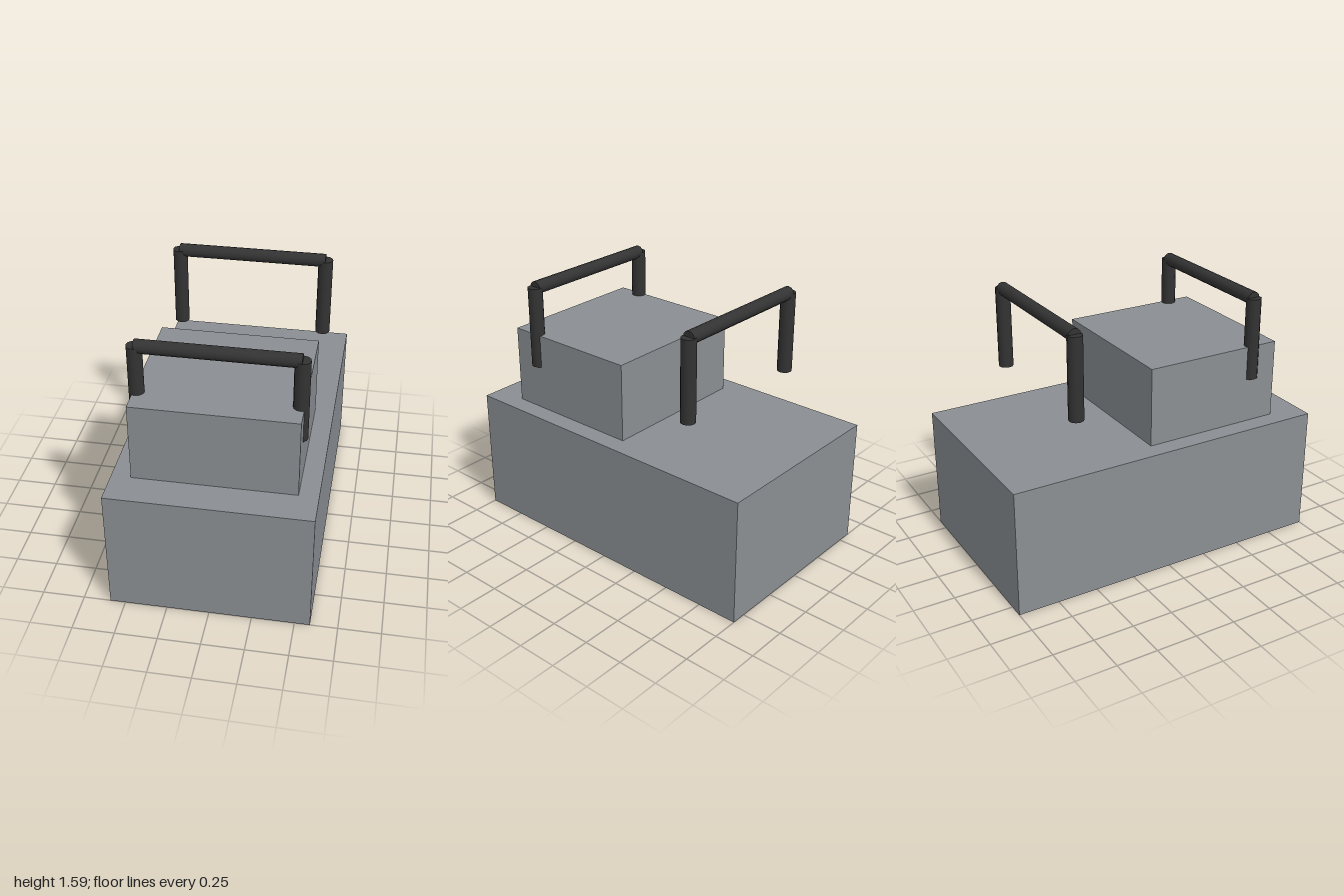
import * as THREE from 'three';

const bodyMaterial = new THREE.MeshStandardMaterial({ color: 0x8a8f93 });
const handleMaterial = new THREE.MeshStandardMaterial({ color: 0x333333 });

function addPart(parent, name, geometry, material, x, y, z) {
  const mesh = new THREE.Mesh(geometry, material);
  mesh.name = name;
  mesh.position.set(x, y, z);
  parent.add(mesh);
  return mesh;
}

// Two upright posts joined by a crossbar
function createHandle(name, z) {
  const handle = new THREE.Group();
  handle.name = name;
  handle.position.z = z;
  const postX = 0.455;
  const post = new THREE.CylinderGeometry(0.045, 0.045, 0.5, 12);
  const bar = new THREE.CylinderGeometry(0.04, 0.04, postX * 2, 12);
  bar.rotateZ(Math.PI / 2);
  for (const side of [1, -1]) {
    addPart(handle, side > 0 ? 'leftPost' : 'rightPost', post, handleMaterial, side * postX, 1.3, 0);
  }
  addPart(handle, 'crossbar', bar, handleMaterial, 0, 1.545, 0);
  return handle;
}

export function createModel() {
  const model = new THREE.Group();
  model.name = 'blockWithHandles';

  // Main body and the smaller block on top of it, set towards the front
  addPart(model, 'base', new THREE.BoxGeometry(1.18, 0.775, 2), bodyMaterial, 0, 0.3875, 0);
  addPart(model, 'upperBlock', new THREE.BoxGeometry(0.95, 0.48, 0.865), bodyMaterial, 0, 1.015, 0.3625);

  model.add(createHandle('frontHandle', 0.635), createHandle('rearHandle', -0.545));
  return model;
}
